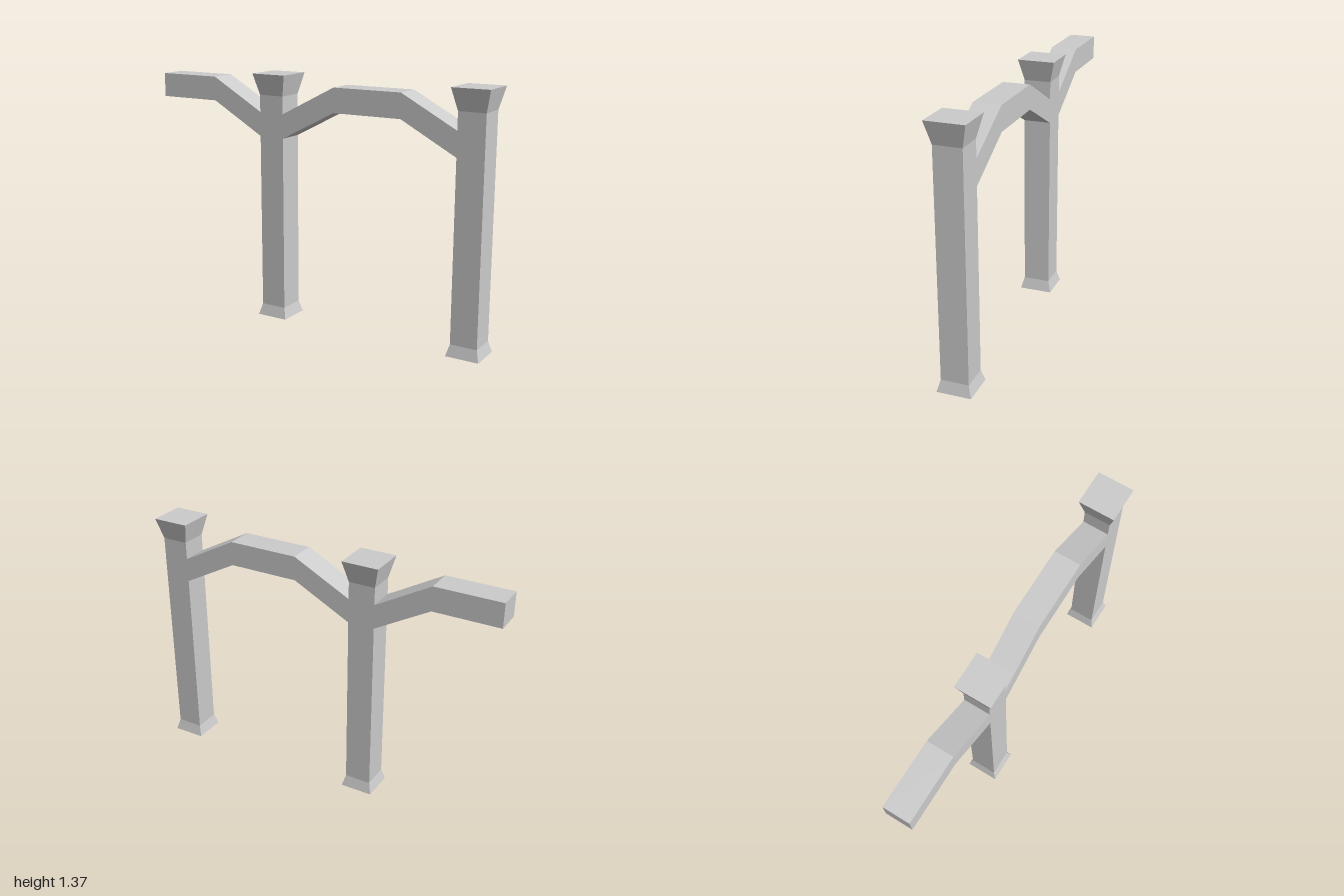
import * as THREE from 'three';

const DEPTH = 0.146;

export function createModel() {
  const group = new THREE.Group();
  const material = new THREE.MeshStandardMaterial({ color: 0xcccccc, flatShading: true });

  const add = (name, geometry, x = 0) => {
    const mesh = new THREE.Mesh(geometry, material);
    mesh.name = name;
    mesh.position.x = x;
    group.add(mesh);
  };

  // Square posts: flared foot, straight shaft, flared capital (half width, height)
  const profile = [[0, 0], [0.09, 0], [0.073, 0.062], [0.073, 1.25], [0.101, 1.365], [0, 1.365]]
    .map(([half, y]) => new THREE.Vector2(half * Math.SQRT2, y));
  const post = new THREE.LatheGeometry(profile, 4, Math.PI / 4);
  add('middlePost', post, -0.259);
  add('leftPost', post, 0.897);

  // Bent beams: the underside runs parallel below the top line
  const beam = (top, thickness) => {
    const bottom = top.map(([x, y]) => [x, y - thickness]).reverse();
    const shape = new THREE.Shape([...top, ...bottom].map(([x, y]) => new THREE.Vector2(x, y)));
    return new THREE.ExtrudeGeometry(shape, { depth: DEPTH, bevelEnabled: false })
      .translate(0, 0, -DEPTH / 2);
  };
  add('archBeam', beam([[-0.186, 1.155], [0.13, 1.318], [0.518, 1.318], [0.824, 1.155]], 0.132));
  add('rightBeam', beam([[-1, 1.33], [-0.637, 1.33], [-0.332, 1.157]], 0.132));

  return group;
}
